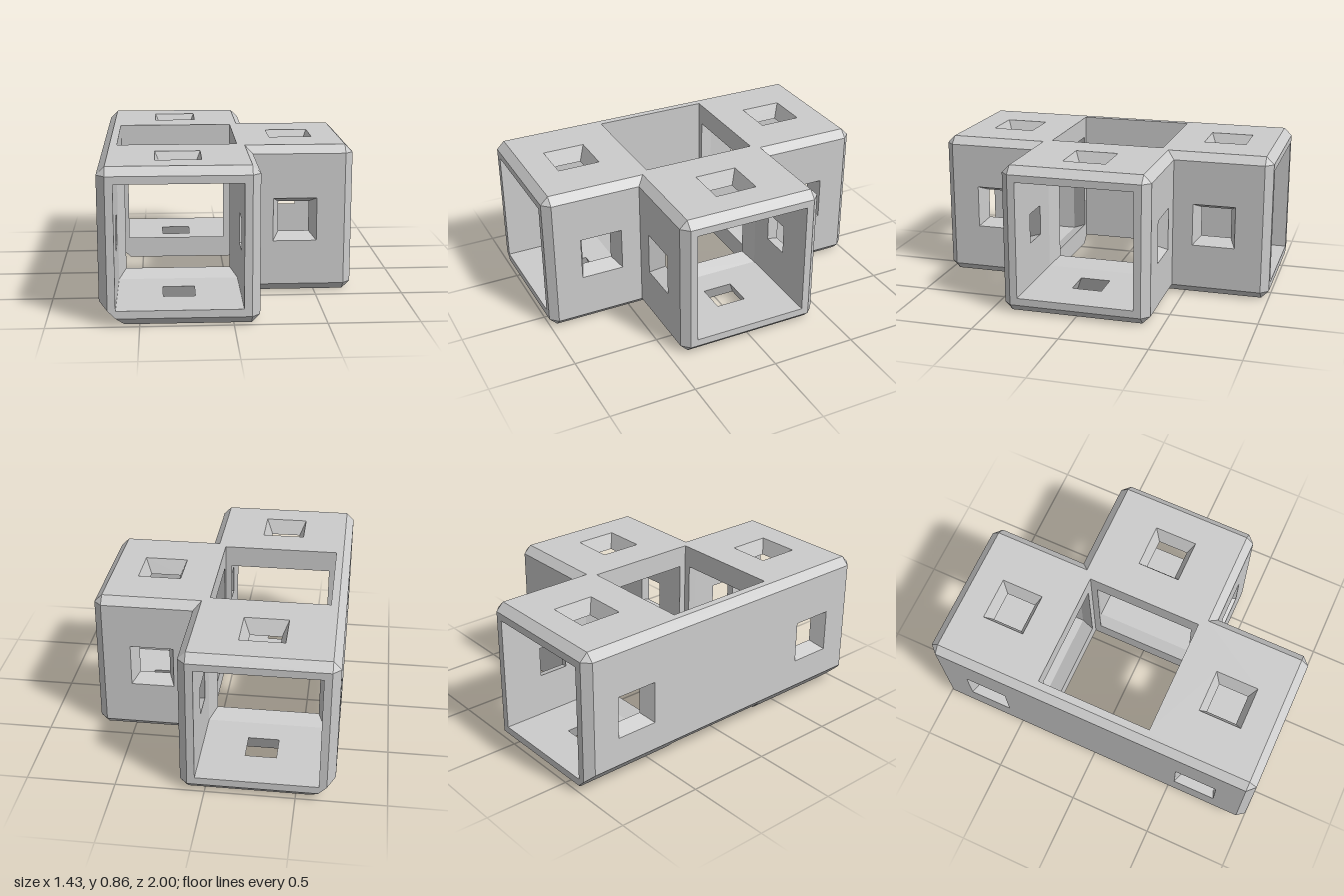
import * as THREE from 'three';

// Main sizes, measured from the centre of the junction
const H = 0.4275;        // half width of a square tube
const L = 1;             // length of an arm
const C = 0.045;         // edge chamfer
const E = H - C, LC = L - C;
const IN = 0.34;         // half width of the hollow
const PORTAL = 0.30;     // half width of the opening into the middle
const WIN = 0.67, WO = 0.125, WI = 0.088; // window centre, outer and inner half size
const K = 0.1335;        // large bevel along the lower edge of the long wall
const B = -H + K;        // where that bevel meets the underside
const N = B - H + IN;    // height where the bevel meets the hollow

const square = r => [[-r, -r], [r, -r], [r, r], [-r, r]];
const rect = (a0, a1, b0, b1) => [[a0, b0], [a1, b0], [a1, b1], [a0, b1]];

// Collects flat faces of one part, each turned to look along a given direction
class Part {
  constructor(map = p => p) { this.map = map; this.pos = []; }

  face(outline, dir, holes = []) {
    const loops = [outline, ...holes].map(l => l.map(p => new THREE.Vector3(...this.map(p))));
    const d = new THREE.Vector3(...this.map(dir));
    const size = d.toArray().map(Math.abs);
    const drop = size.indexOf(Math.max(...size));
    const flat = loops.map(l => l.map(p => new THREE.Vector2(...p.toArray().filter((_, i) => i !== drop))));
    const pts = loops.flat();
    for (const t of THREE.ShapeUtils.triangulateShape(flat[0], flat.slice(1))) {
      const [a, b, c] = t.map(i => pts[i]);
      const n = b.clone().sub(a).cross(c.clone().sub(a));
      const order = n.dot(d) < 0 ? [a, c, b] : [a, b, c];
      order.forEach(p => this.pos.push(p.x, p.y, p.z));
    }
  }

  // Tapered sleeve between two square rings, facing inward
  sleeve(o, n) {
    for (let i = 0; i < 4; i++) {
      const j = (i + 1) % 4;
      const dir = [0, 1, 2].map(k => (o[0][k] + o[2][k] - o[i][k] - o[j][k]) / 2);
      this.face([o[i], o[j], n[j], n[i]], dir);
    }
  }

  mesh(name, material) {
    const g = new THREE.BufferGeometry();
    g.setAttribute('position', new THREE.Float32BufferAttribute(this.pos, 3));
    g.computeVertexNormals();
    const m = new THREE.Mesh(g, material);
    m.name = name;
    return m;
  }
}

// One arm along +z, placed by the map; a bevelled arm belongs to the long wall
function makeArm(name, map, bevelled, material) {
  const arm = new THREE.Group();
  arm.name = name;
  const shell = new Part(map), cavity = new Part(map), windows = new Part(map), portal = new Part(map);
  const lowX = bevelled ? B - C : -E;       // end rim corner on the underside
  const lowY = bevelled ? -H + K - C : -E;  // end rim corner on the -x side

  // End rim
  const rim = [[-E, E], [E, E], [E, -E], [lowX, -E]];
  if (bevelled) rim.push([-E, lowY]);
  shell.face(rim.map(([x, y]) => [x, y, L]), [0, 0, 1], [square(IN).map(([x, y]) => [x, y, L])]);

  // Chamfers above and below the rim
  shell.face([[-E, H, LC], [E, H, LC], [E, E, L], [-E, E, L]], [0, 1, 1]);
  shell.face([[bevelled ? B : -E, -H, LC], [E, -H, LC], [E, -E, L], [lowX, -E, L]], [0, -1, 1]);

  for (const s of [1, -1]) {
    const long = bevelled && s < 0;
    // Upright chamfers beside the rim and the corner facets
    shell.face([[s * H, E, LC], [s * E, E, L], [s * E, long ? lowY : -E, L],
      [s * H, long ? -H + K : -E, LC]], [s, 0, 1]);
    for (const t of [1, -1]) {
      if (long && t < 0) continue;
      shell.face([[s * H, t * E, LC], [s * E, t * H, LC], [s * E, t * E, L]], [s, t, 1]);
      if (!long) // chamfers along the arm
        shell.face([[s * E, t * H, E], [s * E, t * H, LC], [s * H, t * E, LC], [s * H, t * E, H]], [s, t, 0]);
    }
    if (!long) // side wall
      shell.face(rect(-E, E, H, LC).map(([y, z]) => [s * H, y, z]), [s, 0, 0],
        [square(WO).map(([y, z]) => [s * H, y, z + WIN])]);
  }

  // Inner walls and tapered windows on all four sides
  for (const k of [0, 1]) for (const s of [1, -1]) {
    const put = (off, z0 = 0) => ([t, z]) => k ? [t, s * off, z + z0] : [s * off, t, z + z0];
    const inner = square(WI).map(put(IN, WIN));
    cavity.face(rect(-IN, IN, H, L).map(put(IN)), k ? [0, -s, 0] : [-s, 0, 0], [inner]);
    windows.sleeve(square(WO).map(put(H, WIN)), inner);
  }

  // Tapered opening into the middle
  portal.sleeve(square(IN).map(([x, y]) => [x, y, H]), square(PORTAL).map(([x, y]) => [x, y, IN]));

  arm.add(shell.mesh('armShell', material), cavity.mesh('armInnerWalls', material),
    windows.mesh('windowReveals', material), portal.mesh('portalReveal', material));
  return arm;
}

export function createModel() {
  const model = new THREE.Group();
  model.name = 'tubeJunction';
  const material = new THREE.MeshStandardMaterial({ color: 0xcccccc, flatShading: true });
  const body = new THREE.Group();
  body.name = 'junctionBody';
  body.position.set(-(L - H) / 2, H, 0);
  model.add(body);

  // Three arms
  body.add(makeArm('frontArm', ([x, y, z]) => [x, y, z], true, material));
  body.add(makeArm('backArm', ([x, y, z]) => [x, y, -z], true, material));
  body.add(makeArm('sideArm', ([x, y, z]) => [z, y, x], false, material));

  // Top and bottom plates
  const tee = left => [[left, -LC], [E, -LC], [E, -E], [LC, -E], [LC, E], [E, E], [E, LC], [left, LC]];
  const at = y => ([x, z]) => [x, y, z];
  const plateWindows = y => [[WIN, 0], [0, WIN], [0, -WIN]]
    .map(([cx, cz]) => square(WO).map(([x, z]) => [x + cx, y, z + cz]));
  const top = new Part();
  top.face(tee(-E).map(at(H)), [0, 1, 0], [square(IN).map(at(H)), ...plateWindows(H)]);
  body.add(top.mesh('topPlate', material));
  const bottom = new Part();
  const notch = [[B, IN], [IN, IN], [IN, -IN], [B, -IN]];
  bottom.face([...tee(B), ...notch].map(at(-H)), [0, -1, 0], plateWindows(-H));
  body.add(bottom.mesh('bottomPlate', material));

  // Long wall with its upper chamfer and large lower bevel
  const wall = new Part();
  wall.face(rect(-H + K, E, -LC, LC).map(([y, z]) => [-H, y, z]), [-1, 0, 0],
    [WIN, -WIN].map(c => square(WO).map(([y, z]) => [-H, y, z + c])));
  wall.face([[-E, H, -LC], [-E, H, LC], [-H, E, LC], [-H, E, -LC]], [-1, 1, 0]);
  const half = [[-H, -H + K, LC], [-E, -H + K - C, L], [B - C, -E, L], [B, -H, LC], [B, -H, IN], [-IN, N, IN]];
  wall.face([...half, ...half.map(([x, y, z]) => [x, y, -z]).reverse()], [-1, -1, 0]);
  body.add(wall.mesh('longWall', material));

  // Walls of the middle shaft
  const shaft = new Part();
  shaft.face(rect(N, H, -IN, IN).map(([y, z]) => [-IN, y, z]), [1, 0, 0]);
  shaft.face(rect(-H, H, -IN, IN).map(([y, z]) => [IN, y, z]), [-1, 0, 0],
    [square(PORTAL).map(([y, z]) => [IN, y, z])]);
  for (const s of [1, -1])
    shaft.face([[-IN, H], [IN, H], [IN, -H], [B, -H], [-IN, N]].map(([x, y]) => [x, y, s * IN]), [0, 0, -s],
      [square(PORTAL).map(([x, y]) => [x, y, s * IN])]);
  body.add(shaft.mesh('middleShaft', material));

  return model;
}
